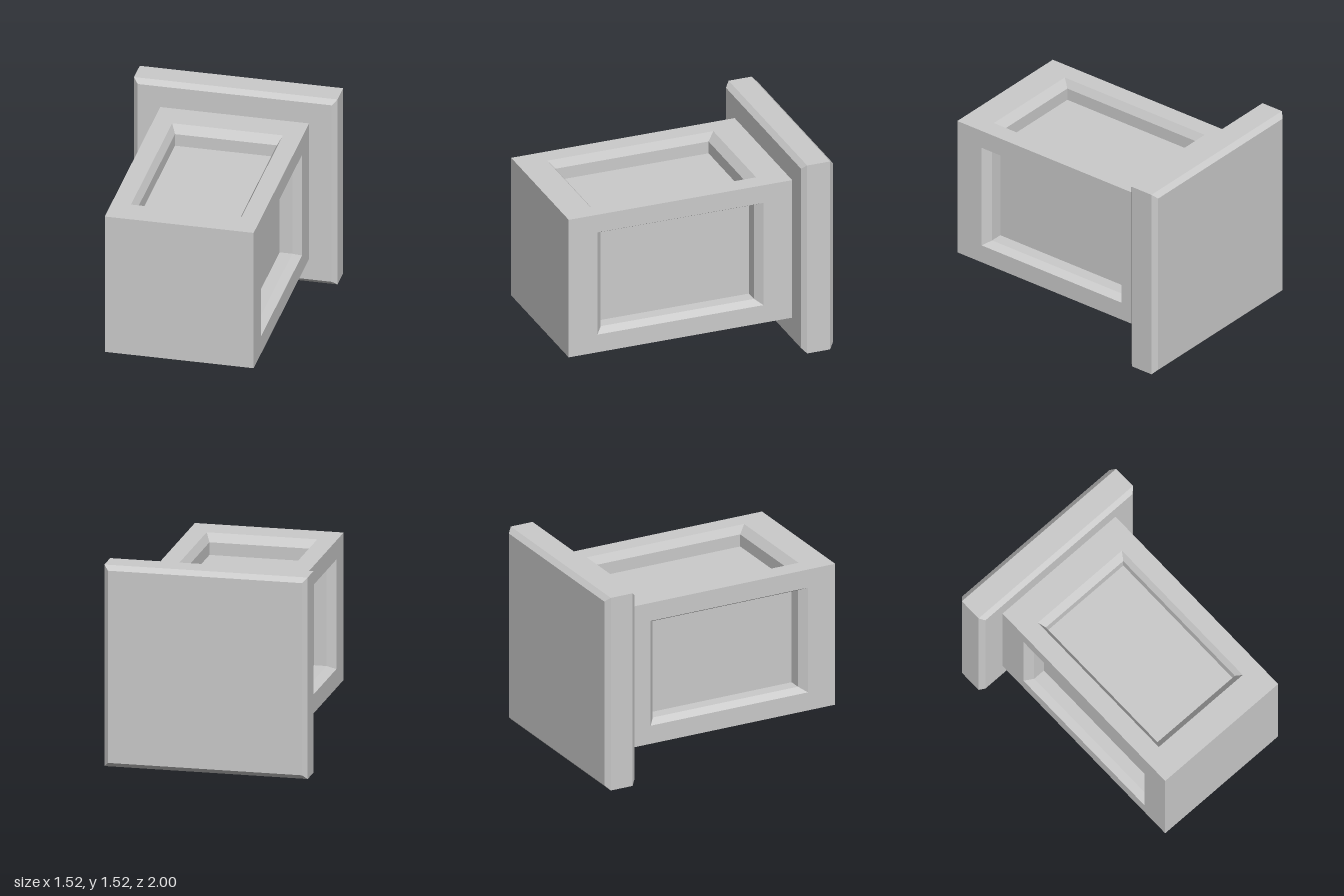
import * as THREE from 'three';

const material = new THREE.MeshStandardMaterial({ color: 0xcccccc, flatShading: true });

// Joins rectangles [halfWidth, yMin, yMax, z] in order, facing outwards, and caps the ends
function loftRects(rects, capStart) {
  const rings = rects.map(([w, y0, y1, z]) => [[-w, y0, z], [w, y0, z], [w, y1, z], [-w, y1, z]]);
  const points = [];
  const quad = (a, b, c, d) => points.push(...a, ...b, ...c, ...a, ...c, ...d);
  for (let r = 0; r < rings.length - 1; r++) {
    const a = rings[r], b = rings[r + 1];
    for (let i = 0; i < 4; i++) {
      const j = (i + 1) % 4;
      quad(a[i], a[j], b[j], b[i]);
    }
  }
  quad(...rings[rings.length - 1]);
  if (capStart) quad(...[...rings[0]].reverse());
  const geometry = new THREE.BufferGeometry();
  geometry.setAttribute('position', new THREE.Float32BufferAttribute(points, 3));
  geometry.computeVertexNormals();
  return geometry;
}

function addMesh(parent, geometry, name) {
  const mesh = new THREE.Mesh(geometry, material);
  mesh.name = name;
  parent.add(mesh);
  return mesh;
}

export function createModel() {
  const model = new THREE.Group();
  model.name = 'panelledBlock';
  const half = 0.555, centreY = 0.7585;

  // Square back plate, bevelled front and back
  const p = 0.7585, bevel = 0.035;
  const plate = addMesh(model, loftRects([
    [p - bevel, bevel - p, p - bevel, -1],
    [p, -p, p, -1 + bevel],
    [p, -p, p, -0.75 - bevel],
    [p - bevel, bevel - p, p - bevel, -0.75],
  ], true), 'backPlate');
  plate.position.y = centreY;

  // Block body: four sides, each with a bevelled, recessed panel
  const body = new THREE.Group();
  body.name = 'body';
  body.position.y = centreY;
  model.add(body);
  const side = loftRects([
    [half, -1, 0.75, half],
    [0.4125, -0.775, 0.525, half],
    [0.38, -0.725, 0.475, half - 0.06],
    [0.38, -0.725, 0.475, half - 0.155],
  ], false);
  side.rotateX(-Math.PI / 2);
  ['topPanel', 'leftPanel', 'bottomPanel', 'rightPanel'].forEach((name, i) => {
    addMesh(body, side, name).rotation.z = -i * Math.PI / 2;
  });

  // Plain front face
  const front = addMesh(body, new THREE.PlaneGeometry(2 * half, 2 * half), 'frontFace');
  front.position.z = 1;

  return model;
}
